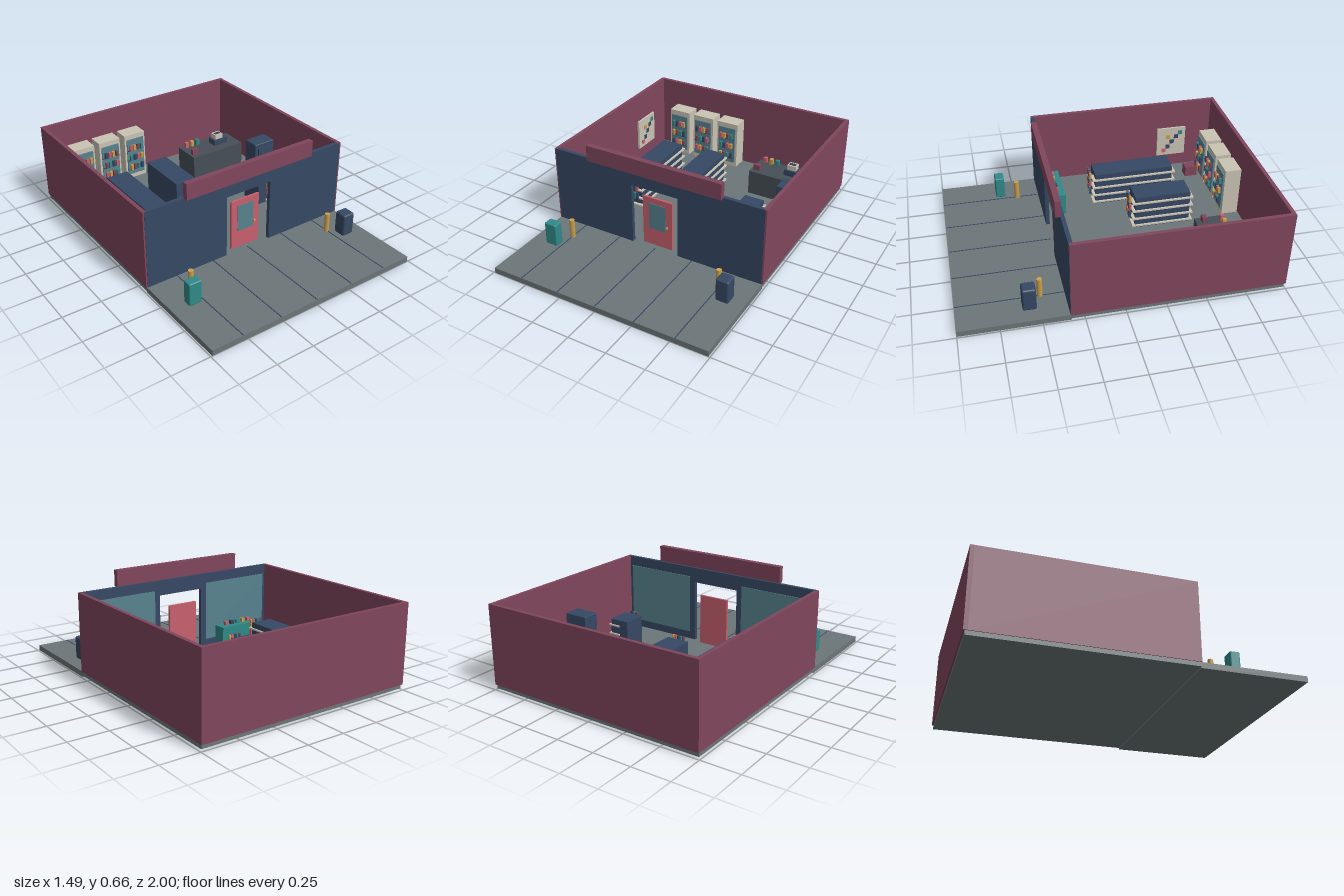
import * as THREE from 'three';
import { RoundedBoxGeometry } from 'three/addons/geometries/RoundedBoxGeometry.js';

const material = (name, color) => {
  const m = new THREE.MeshStandardMaterial({ color });
  m.name = name;
  return m;
};

export function createModel() {
  const maroon = material('maroon', 0x80465c);
  const navy = material('navy', 0x364864);
  const slate = material('slate', 0x6c7578);
  const charcoal = material('charcoal', 0x474f56);
  const teal = material('teal', 0x2f8a89);
  const glass = material('glass', 0x58838f);
  const coral = material('coral', 0xc8606e);
  const yellow = material('yellow', 0xc99f4a);
  const cream = material('cream', 0xcac4b4);
  const goods = [navy, coral, yellow, maroon, teal];

  const root = new THREE.Group();
  root.name = 'cornerShop';
  const group = (name, parent = root) => {
    const g = new THREE.Group();
    g.name = name;
    parent.add(g);
    return g;
  };

  // Box given by its low and high limit on each axis; optional rounded edges
  const box = (name, mat, [x0, x1], [y0, y1], [z0, z1], parent = root, radius = 0) => {
    const size = [x1 - x0, y1 - y0, z1 - z0];
    const geo = radius
      ? new RoundedBoxGeometry(...size, 2, radius)
      : new THREE.BoxGeometry(...size);
    const mesh = new THREE.Mesh(geo, mat);
    mesh.name = name;
    mesh.position.set((x0 + x1) / 2, (y0 + y1) / 2, (z0 + z1) / 2);
    parent.add(mesh);
    return mesh;
  };

  // Row of small products along x
  const productRow = (parent, cx, y, z, count, step, size, height, shift) => {
    for (let i = 0; i < count; i++) {
      const x = cx + (i - (count - 1) / 2) * step;
      box('product', goods[(i + shift) % goods.length],
        [x - size / 2, x + size / 2], [y, y + height], [z - size / 2, z + size / 2], parent);
    }
  };

  // Ground
  const FLOOR = 0.037;
  box('shopFloor', slate, [-0.74, 0.74], [0.01, FLOOR], [-0.99, 0.33]);
  box('pavement', slate, [-0.74, 0.74], [0, FLOOR], [0.33, 1]);
  for (let i = -2; i <= 2; i++) {
    const x = i * 0.266;
    box('pavementJoint', navy, [x - 0.003, x + 0.003], [FLOOR, FLOOR + 0.002], [0.335, 0.998]);
  }

  // Walls
  const TOP = 0.555;
  const walls = group('walls');
  box('backWall', maroon, [-0.745, 0.745], [FLOOR, TOP], [-1, -0.975], walls);
  for (const s of [-1, 1]) {
    const span = (a, b) => (s > 0 ? [a, b] : [-b, -a]);
    box('sideWall', maroon, span(0.72, 0.745), [FLOOR, TOP], [-0.975, 0.335], walls);
    box('frontWall', navy, span(0.165, 0.735), [FLOOR, TOP], [0.312, 0.337], walls);
    box('innerWindow', glass, span(0.205, 0.7), [0.09, 0.49], [0.307, 0.312], walls);
  }
  box('doorHeader', navy, [-0.165, 0.165], [0.455, TOP], [0.312, 0.337], walls);
  box('signBoard', maroon, [-0.47, 0.47], [TOP - 0.002, 0.66], [0.33, 0.367]);

  // Door
  const door = group('door');
  box('doorLeaf', coral, [-0.105, 0.105], [FLOOR, 0.38], [0.288, 0.303], door);
  box('doorWindow', glass, [-0.06, 0.06], [0.157, 0.34], [0.303, 0.307], door);
  box('doorHandle', yellow, [0.064, 0.077], [0.188, 0.2], [0.303, 0.315], door);

  // Outdoor bins and bollards
  box('tealBin', teal, [-0.635, -0.55], [FLOOR, 0.19], [0.567, 0.63], root, 0.008);
  box('navyBin', navy, [0.567, 0.652], [FLOOR, 0.19], [0.52, 0.605], root, 0.012);
  for (const x of [-0.53, 0.53]) {
    const post = new THREE.Mesh(new THREE.CylinderGeometry(0.017, 0.017, 0.128, 12), yellow);
    post.name = 'bollard';
    post.position.set(x, FLOOR + 0.064, 0.486);
    root.add(post);
  }

  // Refrigerators along the back wall
  [-0.512, -0.312, -0.112].forEach((x, n) => {
    const fridge = group('refrigerator');
    box('cabinet', cream, [x - 0.081, x + 0.081], [FLOOR, 0.38], [-0.97, -0.86], fridge);
    box('fridgeGlass', glass, [x - 0.066, x + 0.066], [0.072, 0.345], [-0.86, -0.851], fridge);
    for (let row = 0; row < 3; row++) {
      const y = 0.112 + row * 0.076;
      box('fridgeShelf', navy, [x - 0.062, x + 0.062], [y - 0.005, y], [-0.851, -0.842], fridge);
      productRow(fridge, x, y, -0.84, 4, 0.028, 0.018, 0.04, n + row * 2);
    }
  });
  box('shoppingBasket', maroon, [-0.605, -0.535], [FLOOR, 0.11], [-0.843, -0.755]);

  // Shelf racks: navy body, cream shelves jutting past one side, goods at the end
  const rack = (x0, x1, z0, z1, jut, count) => {
    const g = group('shelfRack');
    box('rackBody', navy, [x0, x1], [FLOOR, 0.27], [z0, z1], g);
    [0.05, 0.105, 0.165, 0.225].forEach((y, i) => {
      box('shelf', cream, [x1 - 0.07, x1 + 0.013], [y, y + 0.01], [z0 - jut, z1 + jut], g);
      if (i) productRow(g, x1 - 0.055, y + 0.01, z1 + jut + 0.012, count, 0.019, 0.014, 0.045, i);
    });
  };
  rack(-0.487, -0.335, -0.585, -0.04, 0.02, 5);
  rack(-0.157, -0.007, -0.615, -0.24, 0.02, 5);
  rack(0.367, 0.5, -0.183, -0.028, 0.01, 3);

  // Service machine by the wall
  const machine = group('serviceMachine');
  box('machineBody', navy, [0.535, 0.7], [FLOOR, 0.335], [-0.4, -0.285], machine, 0.006);
  box('machinePanel', navy, [0.56, 0.68], [0.2, 0.3], [-0.285, -0.276], machine);

  // Snack counter near the window
  const counter = group('snackCounter');
  box('counterBody', teal, [-0.575, -0.26], [FLOOR, 0.19], [0.182, 0.275], counter);
  [coral, yellow, teal, navy, coral].forEach((mat, i) => {
    const x = -0.511 + i * 0.047;
    box('snack', mat, [x - 0.012, x + 0.012], [0.19, 0.215], [0.222, 0.246], counter);
  });

  // Checkout desk with register and small goods
  const desk = group('checkoutDesk');
  box('deskBody', charcoal, [0.207, 0.632], [FLOOR, 0.21], [-0.775, -0.575], desk);
  box('registerBase', navy, [0.437, 0.547], [0.21, 0.25], [-0.72, -0.645], desk);
  box('registerTop', cream, [0.453, 0.517], [0.25, 0.285], [-0.712, -0.66], desk);
  box('registerScreen', navy, [0.462, 0.508], [0.285, 0.289], [-0.695, -0.672], desk);
  box('cardReader', maroon, [0.224, 0.27], [0.21, 0.25], [-0.642, -0.612], desk);
  [coral, yellow, teal].forEach((mat, i) => {
    const x = 0.255 + i * 0.046;
    box('deskGoods', mat, [x - 0.012, x + 0.012], [0.21, 0.25], [-0.758, -0.732], desk);
  });

  // Notice board with coloured cards
  const board = group('noticeBoard');
  box('boardPanel', cream, [-0.712, -0.698], [0.14, 0.36], [-0.79, -0.58], board);
  [[-0.63, 0.18, coral], [-0.66, 0.21, navy], [-0.69, 0.25, navy], [-0.66, 0.29, yellow],
    [-0.72, 0.29, navy], [-0.75, 0.32, teal]].forEach(([z, y, mat]) =>
    box('card', mat, [-0.698, -0.692], [y - 0.015, y + 0.015], [z - 0.015, z + 0.015], board));

  return root;
}
